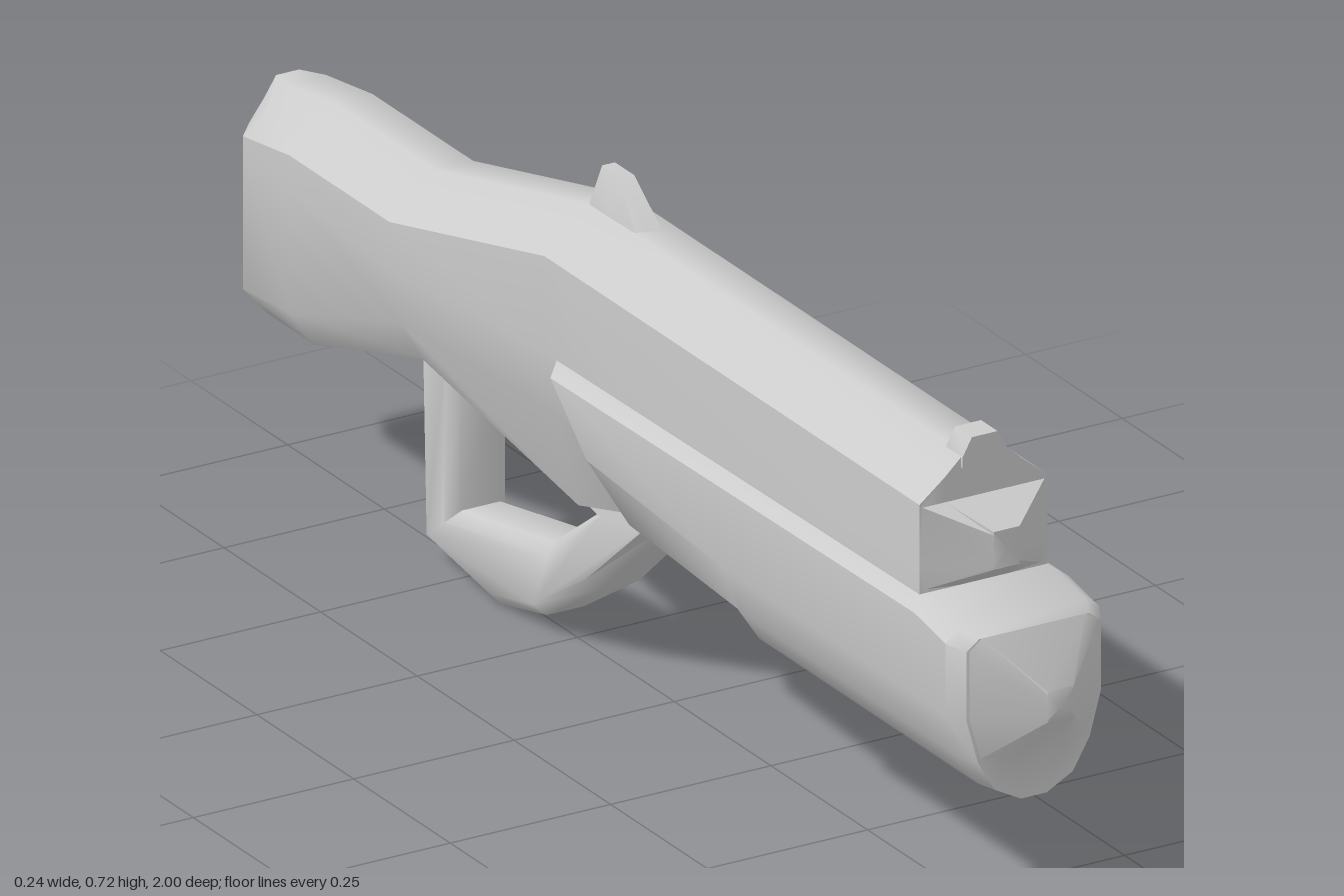
import * as THREE from 'three';
import { toCreasedNormals } from 'three/addons/utils/BufferGeometryUtils.js';

const material = new THREE.MeshStandardMaterial({ color: 0xcccccc });

function addMesh(group, name, geometry, crease = 0.85) {
  const mesh = new THREE.Mesh(toCreasedNormals(geometry, crease), material);
  mesh.name = name;
  group.add(mesh);
}

// Skins mirrored half profiles, listed front to back as [z, [[x, y, dz], ...top to bottom]].
function loft(sections) {
  const rings = sections.map(([z, half]) => {
    const side = half.map(([x, y, dz = 0]) => new THREE.Vector3(x, y, z + dz));
    const mirror = side.map((p) => new THREE.Vector3(-p.x, p.y, p.z)).reverse();
    return [...side, ...mirror];
  });
  const positions = [];
  const tri = (a, b, c) => {
    if (a.equals(b) || b.equals(c) || a.equals(c)) return;
    for (const p of [a, b, c]) positions.push(p.x, p.y, p.z);
  };
  const n = rings[0].length;
  for (let s = 0; s < rings.length - 1; s++) {
    for (let i = 0; i < n; i++) {
      const j = (i + 1) % n;
      tri(rings[s][i], rings[s][j], rings[s + 1][j]);
      tri(rings[s][i], rings[s + 1][j], rings[s + 1][i]);
    }
  }
  const cap = (ring, front) => {
    const mid = ring.reduce((sum, p) => sum.add(p), new THREE.Vector3()).divideScalar(n);
    for (let i = 0; i < n; i++) {
      const a = ring[i], b = ring[(i + 1) % n];
      if (front) tri(mid, b, a);
      else tri(mid, a, b);
    }
  };
  cap(rings[0], true);
  cap(rings[rings.length - 1], false);
  const geometry = new THREE.BufferGeometry();
  geometry.setAttribute('position', new THREE.Float32BufferAttribute(positions, 3));
  geometry.computeVertexNormals();
  return geometry;
}

// Body profile: chamfered roof, vertical flank, side ridge, tapering underside.
const bodySection = (z, top, ridge, lowX, lowY, bottomX, bottom, w = 0.1) => [z, [
  [0.3 * w, top], [0.6 * w, top - 0.028], [w, top - 0.06],
  [w, ridge], [lowX, lowY], [bottomX, bottom],
]];

export function createModel() {
  const group = new THREE.Group();
  group.name = 'longGun';

  // Upper barrel housing, running back into the grip and stock
  addMesh(group, 'barrelAndStock', loft([
    [0.86, [[0.02, 0.575], [0.02, 0.575], [0.02, 0.57], [0.02, 0.53], [0.02, 0.525], [0.02, 0.52]]],
    [0.8, [[0.03, 0.605], [0.06, 0.605], [0.095, 0.605], [0.1, 0.52], [0.09, 0.485], [0.04, 0.48]]],
    bodySection(0.8, 0.67, 0.52, 0.1, 0.46, 0.06, 0.455),
    bodySection(0.06, 0.67, 0.47, 0.09, 0.36, 0.047, 0.3),
    bodySection(-0.17, 0.67, 0.47, 0.085, 0.38, 0.047, 0.235),
    bodySection(-0.57, 0.57, 0.44, 0.085, 0.36, 0.05, 0.3),
    bodySection(-0.83, 0.57, 0.46, 0.1, 0.28, 0.06, 0.225),
    bodySection(-0.95, 0.553, 0.46, 0.1, 0.27, 0.06, 0.225),
    bodySection(-1, 0.545, 0.46, 0.06, 0.26, 0.04, 0.225, 0.06),
  ]));

  // Lower fore-end: blunt nose, deep front half, shallow rear half, slanted tail
  const deep = (z, top, w) => [z, [
    [w - 0.02, top], [w, top - 0.015], [w, 0.345],
    [w * 0.83, 0.28], [w * 0.58, 0.235], [0.02, 0.213],
  ]];
  const slant = (y) => -(y - 0.29) * 1.1;
  const tail = (z, w) => [z, [
    [w - 0.02, 0.47], [w, 0.455], [w, 0.37], [w * 0.83, 0.3], [w * 0.58, 0.285], [0.02, 0.282],
  ].map(([x, y]) => [x, y, slant(y)])];
  addMesh(group, 'foreEnd', loft([
    [1, [[0.02, 0.395], [0.02, 0.39], [0.02, 0.37], [0.02, 0.355], [0.02, 0.35], [0.02, 0.35]]],
    [0.93, [[0.08, 0.46], [0.1, 0.445], [0.1, 0.345], [0.083, 0.285], [0.05, 0.28], [0.02, 0.28]]],
    deep(0.93, 0.46, 0.105),
    deep(0.9, 0.465, 0.12),
    deep(0.82, 0.48, 0.12),
    deep(0.335, 0.475, 0.12),
    [0.33, [[0.1, 0.475], [0.12, 0.46], [0.12, 0.345], [0.1, 0.283], [0.07, 0.28], [0.02, 0.28]]],
    tail(0.06, 0.12),
    tail(0.02, 0.08),
  ]));

  // Guard loop, drawn in the z-y plane and given chamfered edges
  const points = (list) => list.map(([z, y]) => new THREE.Vector2(z, y));
  const outline = new THREE.Shape(points([
    [0.05, 0.29], [-0.14, 0.12], [-0.28, 0.03], [-0.4, 0.002],
    [-0.58, 0.03], [-0.59, 0.33], [-0.4, 0.35], [-0.1, 0.33],
  ]));
  outline.holes.push(new THREE.Path(points([
    [-0.14, 0.233], [-0.5, 0.29], [-0.5, 0.1], [-0.26, 0.145],
  ])));
  const guard = new THREE.ExtrudeGeometry(outline, {
    depth: 0.06, bevelEnabled: true, bevelThickness: 0.017,
    bevelSize: 0.018, bevelOffset: -0.018, bevelSegments: 1,
  });
  guard.translate(0, 0, -0.03).rotateY(-Math.PI / 2);
  addMesh(group, 'guardLoop', guard);

  // Front and rear sights
  const sight = (z, top, topX, baseX) => [z, [[topX, top], [baseX, 0.665], [baseX, 0.65]]];
  addMesh(group, 'frontSight', loft([
    sight(0.803, 0.692, 0.02, 0.035), sight(0.76, 0.692, 0.02, 0.035),
  ]));
  addMesh(group, 'rearSight', loft([
    sight(-0.05, 0.67, 0.01, 0.03),
    sight(-0.12, 0.722, 0.01, 0.032),
    sight(-0.17, 0.722, 0.01, 0.032),
  ]));

  return group;
}
